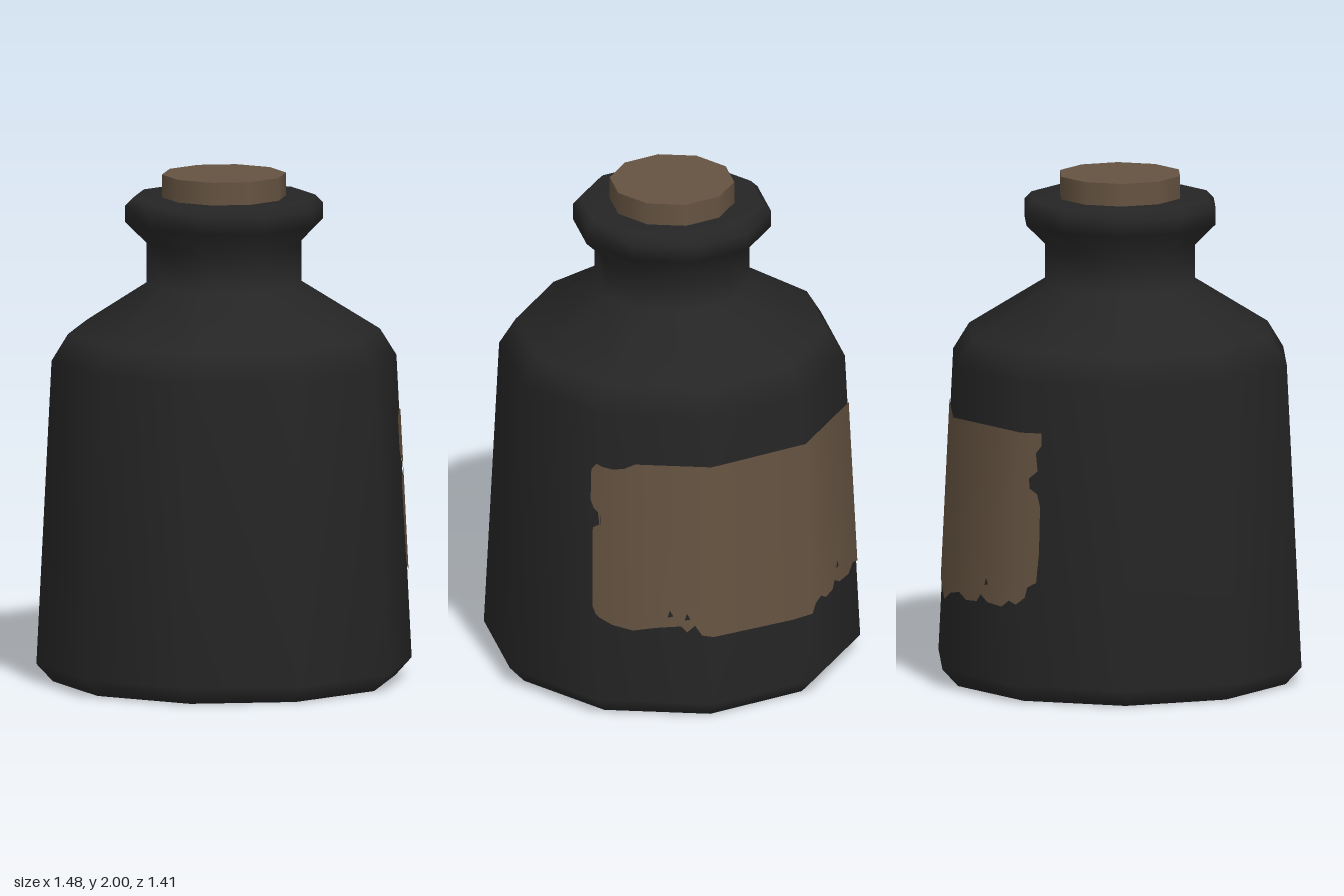
import * as THREE from 'three';

const SIDES = 10;
const STEP = (Math.PI * 2) / SIDES;
const v2 = (p) => new THREE.Vector2(p[0], p[1]);

// Radius of the tapering wall at height y
const wallRadius = (y) => 0.74 - 0.05 * (y - 0.07);

// Bends a flat outline (u = wall facets counted from +x round the back, y = height) onto the wall
function labelPiece(outline, holes, material) {
  const shape = new THREE.Shape(outline.map(v2));
  for (const h of holes) shape.holes.push(new THREE.Path(h.map(v2)));
  const geo = new THREE.ShapeGeometry(shape);
  const pos = geo.attributes.position;
  const nor = geo.attributes.normal;
  const first = Math.floor(Math.min(...outline.map((p) => p[0])));
  for (let i = 0; i < pos.count; i++) {
    const u = pos.getX(i), y = pos.getY(i), t = u - first;
    const r = wallRadius(y) + 0.005;
    const a = first * STEP, b = a + STEP;
    pos.setXYZ(i,
      r * ((1 - t) * Math.cos(a) + t * Math.cos(b)), y,
      -r * ((1 - t) * Math.sin(a) + t * Math.sin(b)));
    const n = new THREE.Vector3(Math.cos(u * STEP), 0.05, -Math.sin(u * STEP)).normalize();
    nor.setXYZ(i, n.x, n.y, n.z);
  }
  return new THREE.Mesh(geo, material);
}

export function createModel() {
  const glass = new THREE.MeshStandardMaterial({ color: 0x252525 });
  glass.name = 'blackGlass';
  const tan = new THREE.MeshStandardMaterial({ color: 0x655341 });
  tan.name = 'corkBrown';

  const model = new THREE.Group();
  model.name = 'corkedBottle';
  const add = (mesh, name) => {
    mesh.name = name;
    model.add(mesh);
    return mesh;
  };

  // Ten-sided body, shoulder, neck and flared lip
  const profile = [
    [0.675, 0], [0.74, 0.07], [0.68, 1.27], [0.615, 1.375], [0.305, 1.57],
    [0.305, 1.73], [0.39, 1.815], [0.39, 1.88], [0.36, 1.91], [0.2, 1.91],
  ].map(v2);
  add(new THREE.Mesh(new THREE.LatheGeometry(profile, SIDES, Math.PI / 2), glass), 'bottleBody');

  // Flat underside
  const base = add(new THREE.Mesh(new THREE.CircleGeometry(0.675, SIDES), glass), 'bottleBase');
  base.rotation.x = Math.PI / 2;

  // Cork
  const cork = add(new THREE.Mesh(
    new THREE.CylinderGeometry(0.245, 0.245, 0.14, SIDES, 1, false, Math.PI / 2), tan), 'cork');
  cork.position.y = 1.93;

  // Torn label round the back, one outline per wall facet
  const label = new THREE.Group();
  label.name = 'tornLabel';
  const facets = [
    [[1, 0.42], [1, 0.8], [0.99, 0.84], [1, 0.85], [1, 1.055], [0.93, 1.06], [0.87, 1.03],
      [0.87, 0.9], [0.91, 0.87], [0.96, 0.86], [0.98, 0.81], [0.91, 0.79], [0.9, 0.77], [0.92, 0.46], [0.96, 0.43]],
    [[1, 0.42], [1.12, 0.39], [1.3, 0.37], [1.5, 0.385], [1.72, 0.395], [1.77, 0.37], [1.84, 0.4],
      [1.9, 0.36], [2, 0.355], [2, 1.07], [1.3, 1.07], [1.2, 1.05], [1.1, 1.045], [1, 1.055]],
    [[2, 0.355], [2.4, 0.35], [2.8, 0.345], [3, 0.35], [3, 1.07], [2, 1.07]],
    [[3, 0.35], [3.08, 0.38], [3.2, 0.39], [3.3, 0.365], [3.45, 0.37], [3.5, 0.4], [3.6, 0.375],
      [3.8, 0.37], [3.9, 0.4], [4, 0.39], [4, 1.07], [3, 1.07]],
    [[4, 0.39], [4.08, 0.42], [4.1, 0.46], [4.18, 0.48], [4.2, 0.6], [4.2, 0.78], [4.17, 0.83], [4.1, 0.85],
      [4.09, 0.89], [4.17, 0.92], [4.15, 0.99], [4.2, 1.02], [4.2, 1.07], [4, 1.07]],
  ];
  // Small worn holes near the lower edge
  const hole = (u, y) => [[u, y], [u + 0.02, y + 0.03], [u + 0.05, y + 0.005]];
  const holes = { 1: [hole(1.6, 0.43), hole(1.75, 0.42)], 3: [hole(3.55, 0.44)] };
  facets.forEach((outline, i) => {
    const piece = labelPiece(outline, holes[i] || [], tan);
    piece.name = 'labelPiece' + (i + 1);
    label.add(piece);
  });
  model.add(label);

  return model;
}
